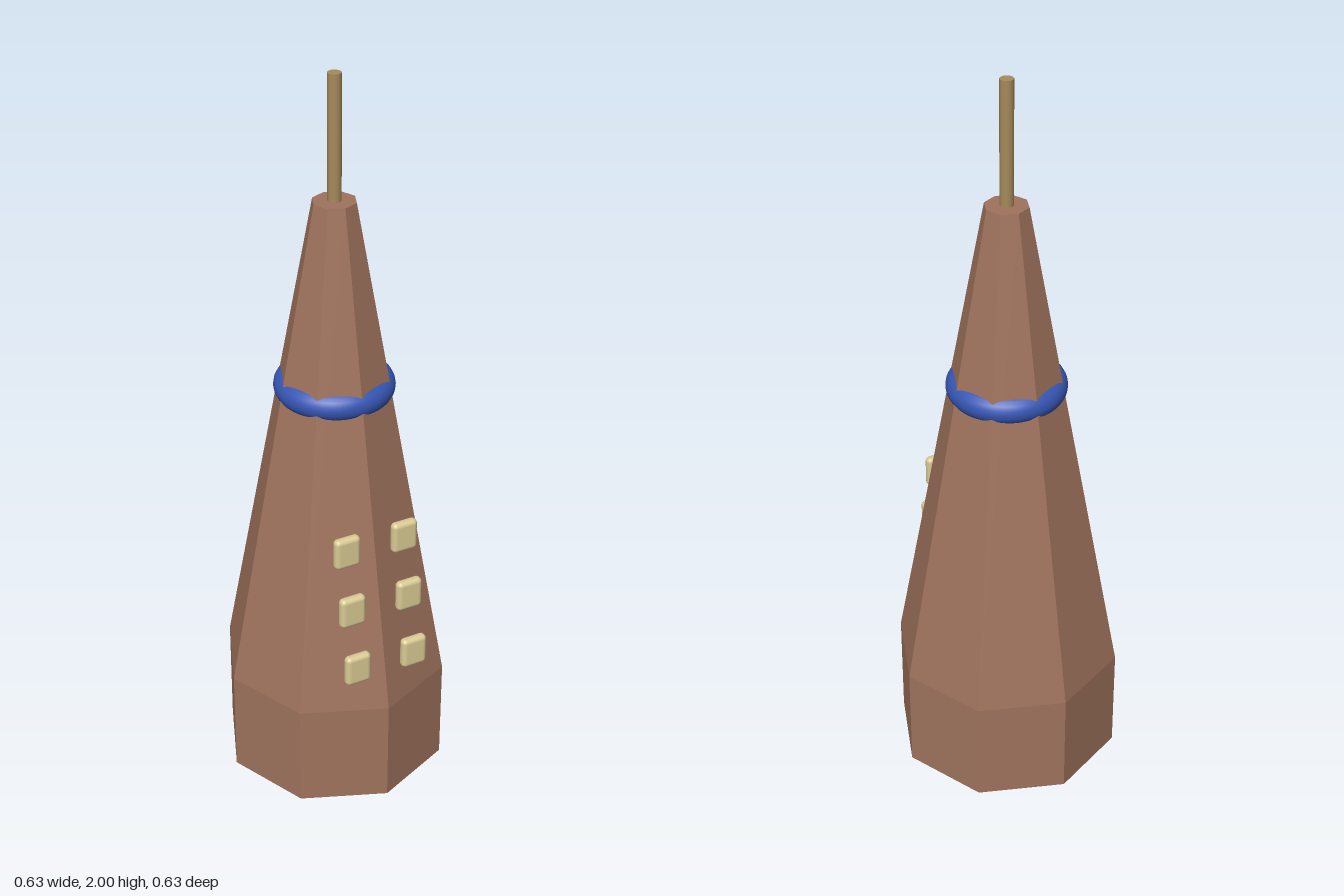
import * as THREE from 'three';
import { RoundedBoxGeometry } from 'three/addons/geometries/RoundedBoxGeometry.js';

const material = (name, color, flatShading = false) => {
  const m = new THREE.MeshStandardMaterial({ color });
  m.name = name;
  m.flatShading = flatShading;
  return m;
};

export function createModel() {
  const group = new THREE.Group();
  group.name = 'spireTower';

  const brown = material('wall brown', 0x9f735d, true);
  const blue = material('band blue', 0x3656b4);
  const cream = material('window cream', 0xd8c993);
  const tan = material('mast tan', 0xa68b5b);

  const add = (name, geometry, mat, x, y, z) => {
    const mesh = new THREE.Mesh(geometry, mat);
    mesh.name = name;
    mesh.position.set(x, y, z);
    group.add(mesh);
  };

  // Octagonal walls: upright base, then a long taper with a flat top
  const base = 0.3, top = 1.67, radius = 0.315, topRadius = 0.058;
  const bottomCap = new THREE.CircleGeometry(radius, 8).rotateX(Math.PI / 2);
  add('baseUnderside', bottomCap, brown, 0, 0, 0);
  add('baseWall', new THREE.CylinderGeometry(radius, radius, base, 8, 1, true), brown, 0, base / 2, 0);
  add('taperedWall', new THREE.CylinderGeometry(topRadius, radius, top - base, 8, 1, true), brown, 0, (base + top) / 2, 0);
  const topCap = new THREE.CircleGeometry(topRadius, 8).rotateX(-Math.PI / 2);
  add('towerTop', topCap, brown, 0, top, 0);

  // Mast on the top
  add('mast', new THREE.CylinderGeometry(0.018, 0.018, 2 - top, 12), tan, 0, (2 + top) / 2, 0);

  // Round band that shows through the middle of each facet
  const band = new THREE.TorusGeometry(0.12, 0.04, 20, 64).rotateX(Math.PI / 2);
  add('band', band, blue, 0, 1.155, 0);

  // Two columns of cushioned windows on the front, stepping back with the slope
  const pane = new RoundedBoxGeometry(0.074, 0.09, 0.028, 4, 0.013);
  for (const x of [-0.085, 0.085]) {
    for (let row = 0; row < 3; row++) {
      add('window', pane, cream, x, 0.453 + row * 0.167, 0.292 - row * 0.0315);
    }
  }
  return group;
}
